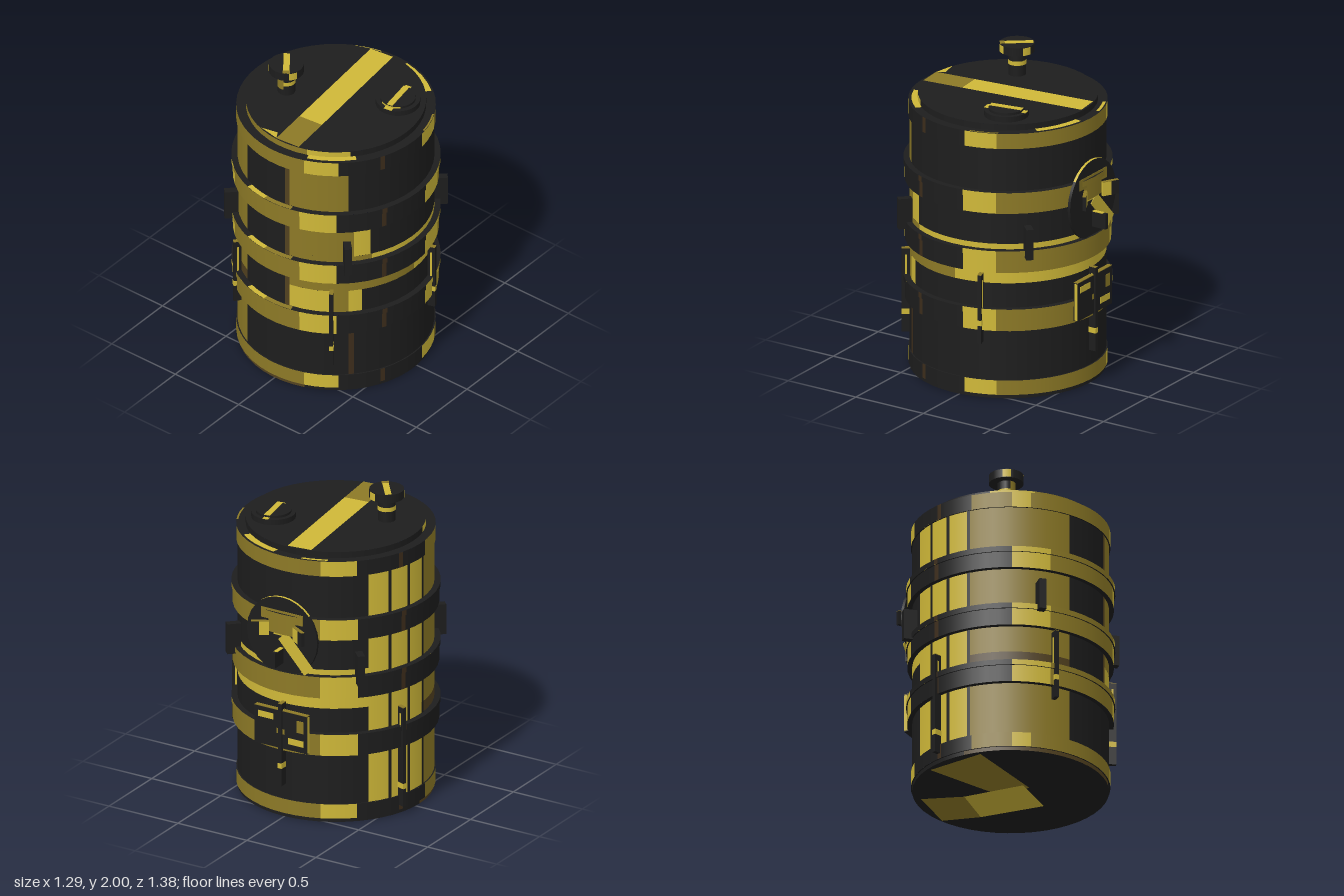
import * as THREE from 'three';

const ZC = 0.04; // drum axis
const mat = (name, color) => Object.assign(new THREE.MeshStandardMaterial({ color }), { name });

export function createModel() {
  const K = mat('black', 0x1d1d1d), Y = mat('yellow', 0xcfb838), D = mat('darkYellow', 0x8c7926);
  const B = mat('brown', 0x52411f), N = mat('darkBrown', 0x3d2d1b);
  const root = new THREE.Group();
  const drum = new THREE.Group();
  drum.name = 'drum';
  drum.position.z = ZC;
  root.add(drum);
  const rad = THREE.MathUtils.degToRad;

  const add = (name, geo, m, x = 0, y = 0, z = 0, parent = drum) => {
    const mesh = new THREE.Mesh(geo, m);
    mesh.name = name;
    mesh.position.set(x, y, z);
    parent.add(mesh);
    return mesh;
  };
  const box = (name, w, h, d, m, x, y, z, parent) => add(name, new THREE.BoxGeometry(w, h, d), m, x, y, z, parent);

  // Wall of a cylinder painted in sectors: [endAngle, material], angle 0 = front, 90 = +x
  const wall = (name, r, y0, y1, start, sectors) => {
    let a = start;
    for (const [end, m] of sectors) {
      const n = Math.max(1, Math.round((end - a) / 7.5));
      add(name, new THREE.CylinderGeometry(r, r, y1 - y0, n, 1, true, rad(a), rad(end - a)), m, 0, (y0 + y1) / 2);
      a = end;
    }
  };
  // Flat ring facing up (dir 1) or down (dir -1), same angles as the walls when facing up
  const ring = (name, r0, r1, y, dir, m, a0 = 0, len = 360) => {
    const g = new THREE.RingGeometry(r0, r1, Math.max(3, Math.round(len / 7.5)), 1, rad(a0 - 90), rad(len));
    add(name, g.rotateX(-dir * Math.PI / 2), m, 0, y);
  };
  // Flat painted polygon from [x, z] corners
  const patch = (name, pts, y, dir, m) => {
    const s = new THREE.Shape(pts.map(([x, z]) => new THREE.Vector2(x, -dir * z)));
    add(name, new THREE.ShapeGeometry(s).rotateX(-dir * Math.PI / 2), m, 0, y);
  };

  // Body walls
  const R = 0.607;
  const left = [[-88, Y], [-25, D], [7.5, K], [10.4, B]];
  wall('upperBody', R, 1.36, 1.66, -129, [...left, [46, D], [231, K]]);
  wall('middleBody', R, 1.02, 1.24, -129, [...left, [49, D], [59, Y], [231, K]]);
  wall('middleBodyStripe', R, 0.97, 1.02, -129, [...left, [60, D], [231, Y]]);
  wall('lowerMiddleBodyStripe', R, 0.76, 0.85, -129, [...left, [91, D], [231, Y]]);
  wall('lowerMiddleBody', R, 0.67, 0.76, -129, [...left, [36, Y], [46, D], [54, Y], [231, K]]);
  wall('lowerMiddleBodyFoot', R, 0.59, 0.67, -129, [[-88, Y], [-25, B], [7.5, K], [10.4, B], [36, Y], [46, D], [54, Y], [231, K]]);
  wall('lowerBody', R, 0.11, 0.46, -129, [[-88, Y], [-25, D], [46, K], [49, N], [231, K]]);
  // Dark seams across the painted side
  for (const a of [-116, -102, -88]) wall('seam', R + 0.003, 0.11, 1.66, a, [[a + 2, K]]);

  // Raised hoops
  const hoop = [[-39, Y], [18, D], [39, Y], [65, K], [68, N], [98, K], [117, Y], [203, D], [224, Y], [251, K], [254, N], [299, K]];
  for (const [y0, y1] of [[0.455, 0.6], [0.84, 0.985], [1.23, 1.37]]) {
    wall('hoop', 0.637, y0, y1 - 0.035, -61, hoop);
    wall('hoopLip', 0.645, y1 - 0.035, y1, -61, hoop);
    ring('hoopTop', 0.6, 0.645, y1, 1, K);
    ring('hoopTopPaint', 0.612, 0.645, y1 + 0.002, 1, Y, -19, 14);
    ring('hoopTopPaint', 0.612, 0.645, y1 + 0.002, 1, D, -5, 18);
    ring('hoopLipUnderside', 0.63, 0.645, y1 - 0.035, -1, K);
    ring('hoopUnderside', 0.6, 0.637, y0, -1, K);
  }

  // End rims
  const rim = [[-61, D], [-50, Y], [20, D], [40, Y], [65, K], [68, N], [98, K], [117, Y], [203, D], [224, Y], [251, K], [254, N], [275, K]];
  for (const [y0, y1] of [[0.025, 0.12], [1.65, 1.75]]) {
    wall('endRim', 0.615, y0, y1, -85, rim);
    ring('endRimTop', 0.54, 0.615, y1, 1, K);
    ring('endRimUnderside', 0.54, 0.615, y0, -1, K);
  }
  wall('foot', R, 0, 0.03, -90, [[20, B], [270, K]]);

  // Lid and its painted stripe
  wall('lidEdge', 0.556, 1.745, 1.79, -75, [[-46, Y], [20, D], [48, Y], [285, K]]);
  ring('lid', 0, 0.556, 1.79, 1, K);
  for (const [r0, r1, m, a0, len] of [
    [0.558, 0.602, Y, 141, 31], [0.55, 0.595, Y, 21, 30], [0.587, 0.607, Y, 191, 16], [0.603, 0.614, D, 101, 17],
  ]) ring('lidPaint', r0, r1, 1.753, 1, m, a0, len);
  patch('stripe', [[-0.15, -0.53], [0.01, -0.55], [0.105, 0.27], [-0.06, 0.285]], 1.793, 1, Y);
  patch('stripeEnd', [[-0.06, 0.285], [0.105, 0.27], [0.135, 0.537], [-0.03, 0.552]], 1.793, 1, D);
  patch('stripeFoot', [[-0.17, 0.525], [-0.06, 0.5], [-0.03, 0.55]], 1.793, 1, Y);

  // Underside and its crossing stripes
  ring('base', 0, R, 0, -1, K);
  patch('baseStripe', [[-0.05, 0.114], [0.277, 0.083], [0.235, -0.335], [-0.076, -0.284]], -0.003, -1, Y);
  patch('baseStripeEnd', [[-0.076, -0.284], [0.235, -0.335], [0.17, -0.57], [-0.17, -0.535]], -0.003, -1, D);
  patch('baseCrossStripe', [[0, 0.13], [0.03, -0.075], [-0.515, -0.286], [-0.575, 0.097]], -0.002, -1, D);

  // Filler knob
  const knob = new THREE.Group();
  knob.name = 'fillerKnob';
  knob.position.set(-0.29, 1.79, 0.125);
  drum.add(knob);
  add('knobStem', new THREE.CylinderGeometry(0.055, 0.055, 0.16, 16), K, 0, 0.08, 0, knob);
  add('knobStemBand', new THREE.CylinderGeometry(0.057, 0.057, 0.028, 16, 1, true), Y, 0, 0.085, 0, knob);
  add('knobStemPaint', new THREE.CylinderGeometry(0.058, 0.058, 0.11, 6, 1, true, -0.6, 0.95), D, 0, 0.1, 0, knob);
  add('knobCap', new THREE.CylinderGeometry(0.108, 0.108, 0.055, 20), K, 0, 0.18, 0, knob);
  for (const a of [-1.3, 0.8, 2.5]) {
    add('knobCapPaint', new THREE.CylinderGeometry(0.11, 0.11, 0.05, 4, 1, true, a, 0.5), Y, 0, 0.18, 0, knob);
  }
  box('knobStripe', 0.04, 0.004, 0.2, Y, 0, 0.208, 0, knob).rotation.y = 0.66;
  box('knobStripeEnd', 0.045, 0.004, 0.03, D, 0.056, 0.209, 0.073, knob).rotation.y = 0.66;

  // Low vent cap
  const vent = new THREE.Group();
  vent.name = 'ventCap';
  vent.position.set(0.325, 1.79, -0.205);
  drum.add(vent);
  add('ventBase', new THREE.CylinderGeometry(0.138, 0.138, 0.035, 24), K, 0, 0.0175, 0, vent);
  add('ventTop', new THREE.CylinderGeometry(0.11, 0.11, 0.05, 24), K, 0, 0.025, 0, vent);
  add('ventPaint', new THREE.CylinderGeometry(0.112, 0.112, 0.012, 6, 1, true, -0.4, 1.2), Y, 0, 0.042, 0, vent);
  box('ventStripe', 0.038, 0.004, 0.215, Y, 0, 0.052, 0, vent).rotation.y = 0.17;
  box('ventStripeEnd', 0.055, 0.004, 0.04, Y, 0.022, 0.037, 0.115, vent).rotation.y = 0.17;
  box('ventStripeEnd', 0.038, 0.004, 0.04, Y, -0.02, 0.037, -0.115, vent).rotation.y = 0.17;

  // A group turned to face outward at an angle; local +z is outward
  const facing = (name, a) => {
    const g = new THREE.Group();
    g.name = name;
    g.rotation.y = rad(a);
    drum.add(g);
    return g;
  };

  // Four lifting lugs
  for (const a of [45, 135, 225, 315]) box('liftingLug', 0.046, 0.2, 0.1, K, 0, 1.04, 0.642, facing('lug', a));

  // Five vertical latches
  for (const [a, y0, y1] of [[36, 0.22, 0.77], [108, 0.37, 0.82], [180, 0.22, 0.77], [252, 0.06, 0.72], [324, 0.37, 0.82]]) {
    const g = facing('latch', a);
    box('latchBar', 0.025, y1 - y0, 0.06, K, 0, (y0 + y1) / 2, 0.626, g);
    box('latchPaint', 0.029, 0.035, 0.062, Y, 0, y0 + 0.135, 0.626, g);
    box('latchSidePaint', 0.029, 0.2, 0.012, Y, 0, y1 - 0.14, 0.63, g);
    box('latchTopPaint', 0.025, 0.004, 0.06, D, 0, y1 + 0.002, 0.626, g);
  }

  // Back hinge plate
  const back = facing('backFittings', 180);
  box('hingePlate', 0.38, 0.25, 0.03, K, 0, 0.595, 0.628, back);
  box('hingePaint', 0.11, 0.04, 0.004, Y, -0.11, 0.67, 0.644, back);
  box('hingePaint', 0.11, 0.04, 0.004, Y, 0.11, 0.53, 0.644, back);
  box('hingePaint', 0.05, 0.08, 0.004, D, 0.14, 0.64, 0.644, back);
  box('hingeTopPaint', 0.38, 0.004, 0.03, D, 0, 0.722, 0.628, back);
  for (const s of [-1, 1]) box('hingeSidePaint', 0.004, 0.24, 0.02, Y, s * 0.192, 0.595, 0.63, back);

  // Back hand wheel with three fins
  const wheel = new THREE.Group();
  wheel.name = 'handWheel';
  wheel.position.set(0, 1.22, 0.62);
  back.add(wheel);
  add('wheelDisc', new THREE.CylinderGeometry(0.255, 0.255, 0.018, 24).rotateX(Math.PI / 2), K, 0, 0, 0, wheel);
  const edge = new THREE.CylinderGeometry(0.257, 0.257, 0.017, 8, 1, true, Math.PI - 0.85, 1.7);
  add('wheelEdgePaint', edge.rotateX(Math.PI / 2), Y, 0, 0, 0, wheel);
  box('wheelPaint', 0.3, 0.07, 0.004, D, 0, 0.13, 0.01, wheel);
  box('wheelPaint', 0.12, 0.1, 0.004, Y, 0, 0.05, 0.01, wheel);
  box('wheelPaint', 0.085, 0.28, 0.004, Y, 0.1, -0.1, 0.011, wheel).rotation.z = 0.75;
  box('lowerFin', 0.025, 0.1, 0.1, K, 0, -0.13, 0.06, wheel);
  box('lowerFinPaint', 0.026, 0.004, 0.075, Y, 0, -0.079, 0.05, wheel);
  for (const s of [-1, 1]) {
    const fin = new THREE.Group();
    fin.name = 'upperFin';
    fin.position.set(s * 0.14, 0.035, 0.042);
    fin.rotation.y = -s * 0.5;
    wheel.add(fin);
    box('finRoot', 0.06, 0.09, 0.022, Y, -s * 0.025, 0, 0, fin);
    box('finTip', 0.05, 0.09, 0.022, K, s * 0.03, 0, 0, fin);
    box('finTopPaint', 0.11, 0.004, 0.022, D, 0, 0.046, 0, fin);
  }
  return root;
}
